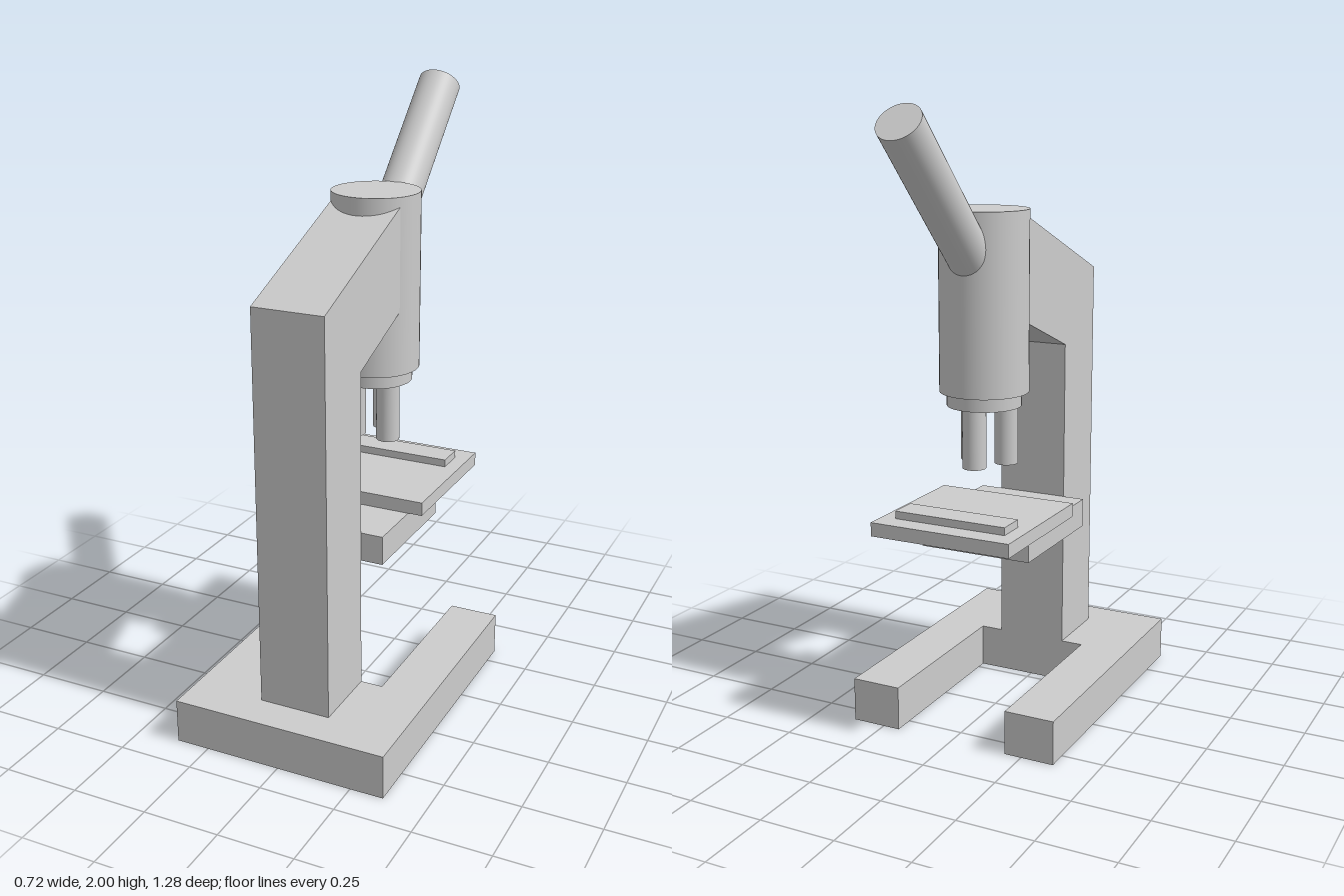
import * as THREE from 'three';

export function createModel() {
  const model = new THREE.Group();
  model.name = 'microscope';
  const grey = new THREE.MeshStandardMaterial({ color: 0xcccccc });
  grey.name = 'light grey';

  const add = (name, geometry, x = 0, y = 0, z = 0) => {
    const mesh = new THREE.Mesh(geometry, grey);
    mesh.name = name;
    mesh.position.set(x, y, z);
    model.add(mesh);
    return mesh;
  };
  // Box from half width in x and ranges in y and z
  const slab = (name, halfX, y0, y1, z0, z1) =>
    add(name, new THREE.BoxGeometry(halfX * 2, y1 - y0, z1 - z0), 0, (y0 + y1) / 2, (z0 + z1) / 2);
  // Upright cylinder between two heights
  const barrel = (name, radius, y0, y1, x, z) =>
    add(name, new THREE.CylinderGeometry(radius, radius, y1 - y0, 48), x, (y0 + y1) / 2, z);
  const extrude = (points, depth) =>
    new THREE.ExtrudeGeometry(
      new THREE.Shape(points.map(([a, b]) => new THREE.Vector2(a, b))),
      { depth, bevelEnabled: false });

  // U-shaped foot, drawn as (x, -z) and laid flat
  const foot = extrude([
    [-0.36, -0.64], [0.36, -0.64], [0.36, 0.32], [0.193, 0.32],
    [0.193, -0.283], [-0.193, -0.283], [-0.193, 0.32], [-0.36, 0.32],
  ], 0.145);
  foot.rotateX(-Math.PI / 2);
  add('base', foot);

  // Column and sloping arm in one side profile (z, y)
  const arm = extrude([
    [0.52, 0.145], [0.52, 1.44], [-0.05, 1.67], [-0.05, 1.335],
    [0.283, 1.205], [0.283, 0.145],
  ], 0.238);
  arm.translate(0, 0, -0.119);
  arm.rotateY(-Math.PI / 2);
  add('arm', arm);

  // Stage with its bracket and slide clip
  slab('stageBracket', 0.192, 0.58, 0.675, -0.15, 0.283);
  slab('stage', 0.24, 0.675, 0.72, -0.39, 0.085);
  slab('slideClip', 0.192, 0.72, 0.745, -0.32, -0.226);

  // Body tube and nosepiece
  const axisZ = -0.079;
  barrel('bodyTube', 0.143, 1.105, 1.68, 0, axisZ);
  barrel('nosepiece', 0.12, 1.06, 1.105, 0, axisZ);

  // Three objectives around the axis
  for (let i = 0; i < 3; i++) {
    const a = (i * Math.PI * 2) / 3;
    barrel('objective', 0.038, 0.868, 1.06, 0.07 * Math.sin(a), axisZ - 0.07 * Math.cos(a));
  }

  // Eyepiece tilted 45 degrees, its lower end inside the body tube
  const top = new THREE.Vector3(0, 1.951, -0.587);
  const bottom = new THREE.Vector3(0, 1.514, -0.15);
  const eyepiece = add('eyepiece', new THREE.CylinderGeometry(0.07, 0.07, top.distanceTo(bottom), 48));
  eyepiece.position.copy(top).add(bottom).multiplyScalar(0.5);
  eyepiece.rotation.x = -Math.PI / 4;

  return model;
}
